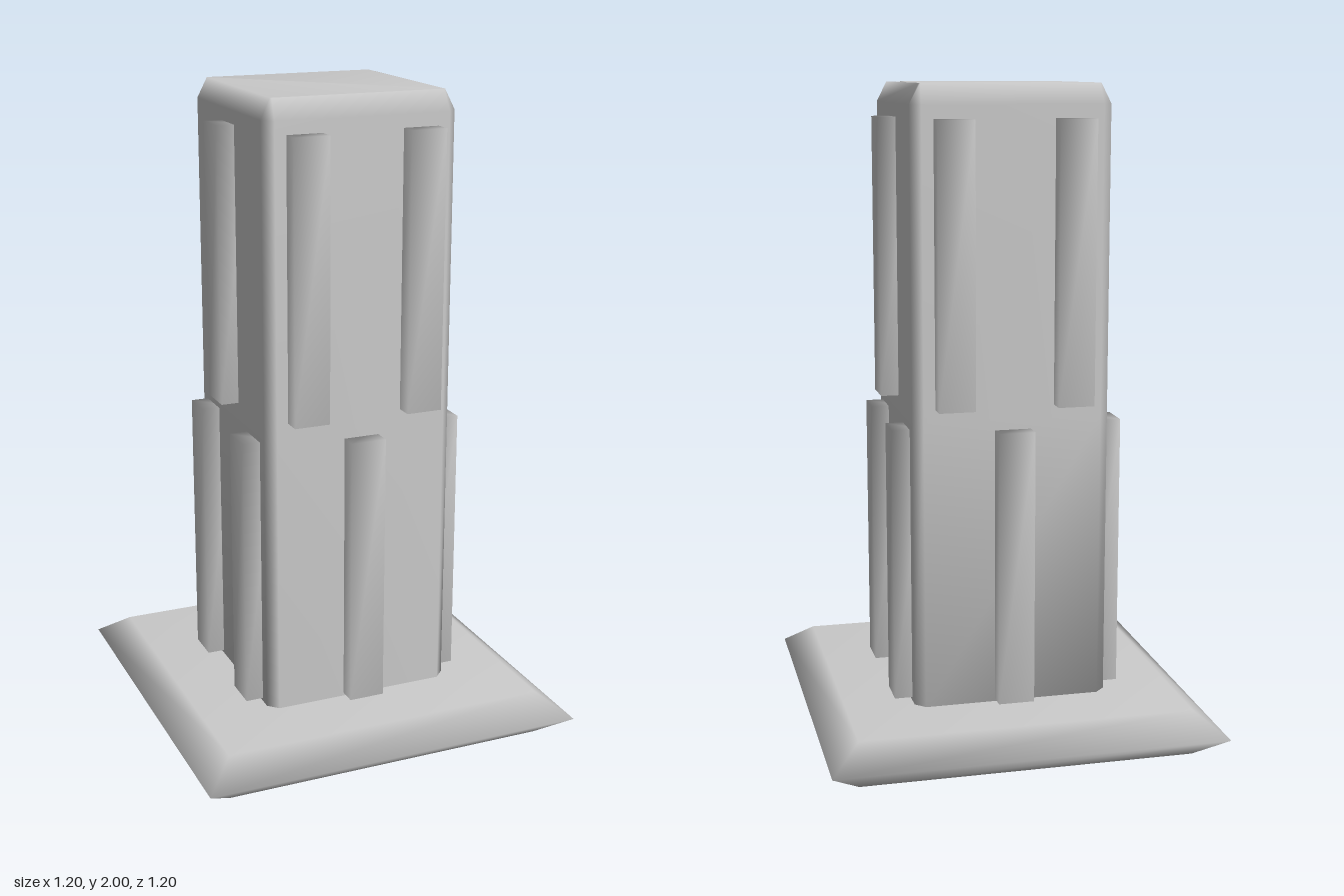
import * as THREE from 'three';
import { mergeVertices } from 'three/addons/utils/BufferGeometryUtils.js';

const material = new THREE.MeshStandardMaterial({ color: 0xcccccc });

// Square ring of half-width h with corners cut by c, counter-clockwise seen from above
function ring(y, h, c) {
  const points = c > 0
    ? [[h, h - c], [h, c - h], [h - c, -h], [c - h, -h], [-h, c - h], [-h, h - c], [c - h, h], [h - c, h]]
    : [[h, h], [h, -h], [-h, -h], [-h, h]];
  return points.map(([x, z]) => [x, y, z]);
}

// Closed solid through a stack of rings, with shared vertices for soft shading
function loft(rings) {
  const n = rings[0].length;
  const last = (rings.length - 1) * n;
  const index = [];
  for (let r = 0; r < rings.length - 1; r++) {
    for (let i = 0; i < n; i++) {
      const a = r * n + i, b = r * n + (i + 1) % n;
      index.push(a, b, b + n, a, b + n, a + n);
    }
  }
  for (let i = 1; i < n - 1; i++) {
    index.push(0, i + 1, i);
    index.push(last, last + i, last + i + 1);
  }
  const geometry = new THREE.BufferGeometry();
  geometry.setAttribute('position', new THREE.Float32BufferAttribute(rings.flat(2), 3));
  geometry.setIndex(index);
  geometry.computeVertexNormals();
  return geometry;
}

// Box with shared corners for soft shading
function softBox(w, h, d) {
  let geometry = new THREE.BoxGeometry(w, h, d);
  geometry.deleteAttribute('normal');
  geometry.deleteAttribute('uv');
  geometry = mergeVertices(geometry);
  geometry.computeVertexNormals();
  return geometry;
}

function addMesh(parent, name, geometry) {
  const mesh = new THREE.Mesh(geometry, material);
  mesh.name = name;
  parent.add(mesh);
  return mesh;
}

export function createModel() {
  const model = new THREE.Group();
  model.name = 'pillar';

  // Square plinth with a pointed rim
  addMesh(model, 'base', loft([ring(0, 0.51, 0), ring(0.07, 0.6, 0), ring(0.14, 0.51, 0)]));

  // Shaft with cut corners and a bevelled top
  addMesh(model, 'shaft', loft([
    ring(0.13, 0.3, 0.03), ring(1.02, 0.3, 0.03), ring(1.94, 0.3, 0.03), ring(2, 0.27, 0.004),
  ]));

  // Raised ribs: pairs and singles alternate between neighbouring faces and levels
  const rib = softBox(0.11, 0.84, 0.1);
  for (let side = 0; side < 4; side++) {
    const face = new THREE.Group();
    face.name = ['frontRibs', 'leftRibs', 'backRibs', 'rightRibs'][side];
    face.rotation.y = side * Math.PI / 2;
    const pairOnTop = side % 2 === 0;
    for (const [level, y] of [['lower', 0.57], ['upper', 1.48]]) {
      const paired = (level === 'upper') === pairOnTop;
      for (const x of paired ? [-0.18, 0.18] : [0]) {
        addMesh(face, level + 'Rib', rib).position.set(x, y, 0.304);
      }
    }
    model.add(face);
  }
  return model;
}
